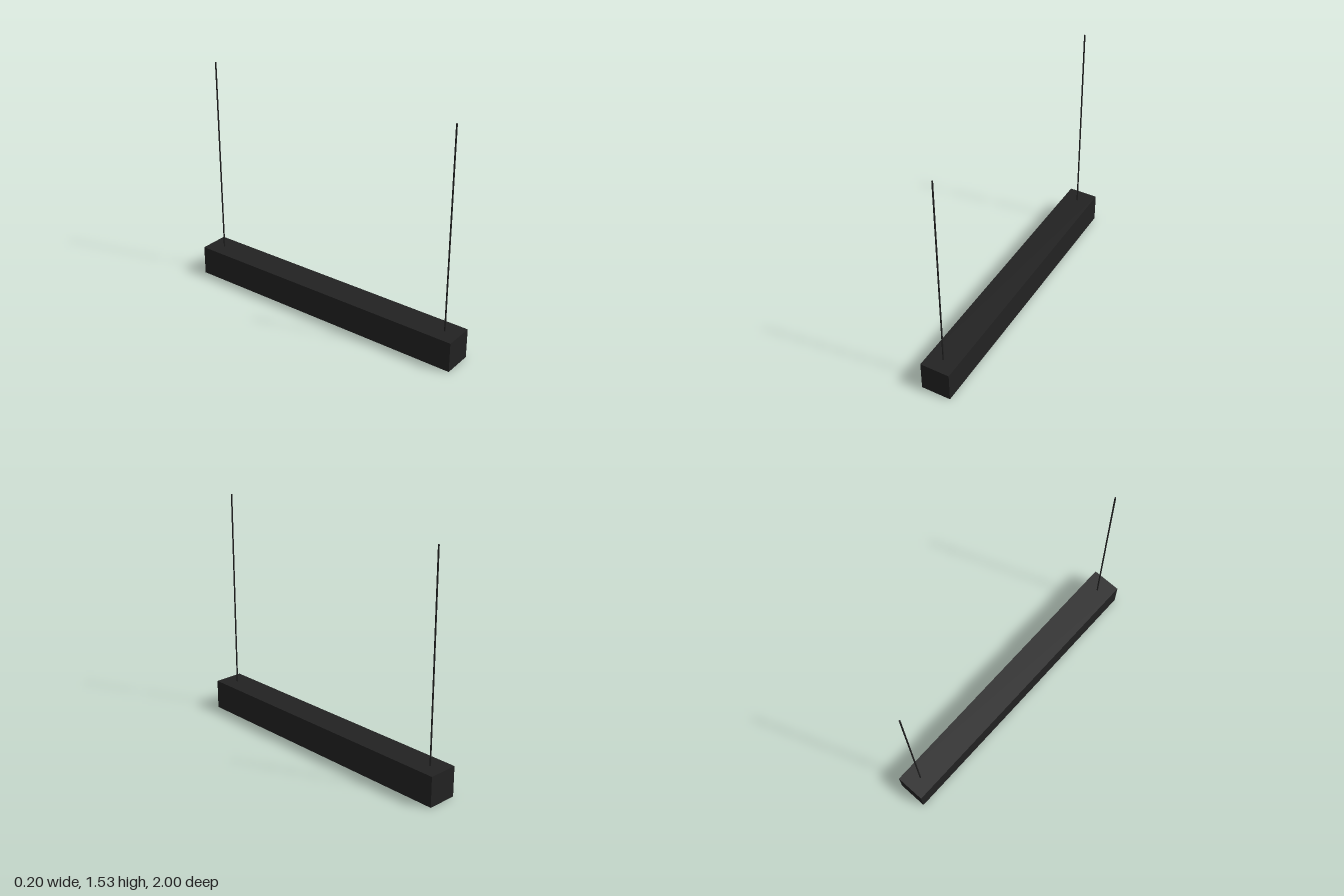
import * as THREE from 'three';

const WIDTH = 0.2, HEIGHT = 0.2, LENGTH = 2;
const CELLS = 10, DEPTH = 0.05, CELL_X = 0.172, CELL_Z = 0.162, TAPER = 0.02;

function rectangle(path, w, h, cy = 0) {
  path.moveTo(-w / 2, cy - h / 2);
  path.lineTo(w / 2, cy - h / 2);
  path.lineTo(w / 2, cy + h / 2);
  path.lineTo(-w / 2, cy + h / 2);
  path.closePath();
  return path;
}

export function createModel() {
  const model = new THREE.Group();
  model.name = 'linearPendantLight';
  const black = new THREE.MeshStandardMaterial({ color: 0x222222 });
  const grey = new THREE.MeshStandardMaterial({ color: 0xcccccc, flatShading: true, side: THREE.DoubleSide });

  const add = (name, geometry, material, x, y, z, parent = model) => {
    const mesh = new THREE.Mesh(geometry, material);
    mesh.name = name;
    mesh.position.set(x, y, z);
    parent.add(mesh);
    return mesh;
  };
  const cellZ = (i) => (i - (CELLS - 1) / 2) * (LENGTH / CELLS);

  // Solid upper housing
  add('housing', new THREE.BoxGeometry(WIDTH, HEIGHT - DEPTH, LENGTH), black, 0, (HEIGHT + DEPTH) / 2, 0);

  // Lower housing, a grid open to the underside
  const grid = rectangle(new THREE.Shape(), WIDTH, LENGTH);
  for (let i = 0; i < CELLS; i++) grid.holes.push(rectangle(new THREE.Path(), CELL_X, CELL_Z, cellZ(i)));
  const gridGeometry = new THREE.ExtrudeGeometry(grid, { depth: DEPTH, bevelEnabled: false });
  gridGeometry.rotateX(-Math.PI / 2);
  add('louvreGrid', gridGeometry, black, 0, 0, 0);

  // Tapered square reflectors, each closed by a flat lens
  const wallHeight = DEPTH - 0.003;
  const walls = new THREE.CylinderGeometry(
    (CELL_X / 2 - TAPER) * Math.SQRT2, CELL_X / 2 * Math.SQRT2, wallHeight, 4, 1, true);
  walls.rotateY(Math.PI / 4);
  walls.scale(1, 1, CELL_Z / CELL_X);
  const lens = new THREE.PlaneGeometry(CELL_X - 2 * TAPER, (CELL_X - 2 * TAPER) * CELL_Z / CELL_X);
  lens.rotateX(Math.PI / 2);
  for (let i = 0; i < CELLS; i++) {
    const cell = new THREE.Group();
    cell.name = 'reflectorCell';
    cell.position.z = cellZ(i);
    model.add(cell);
    add('reflectorWalls', walls, grey, 0, wallHeight / 2 + 0.001, 0, cell);
    add('lens', lens, grey, 0, wallHeight + 0.001, 0, cell);
  }

  // Suspension rods
  const rodTop = 1.535;
  const rod = new THREE.CylinderGeometry(0.005, 0.005, rodTop - HEIGHT, 16);
  for (const z of [-0.9, 0.9]) add('suspensionRod', rod, black, 0, (rodTop + HEIGHT) / 2, z);

  return model;
}
